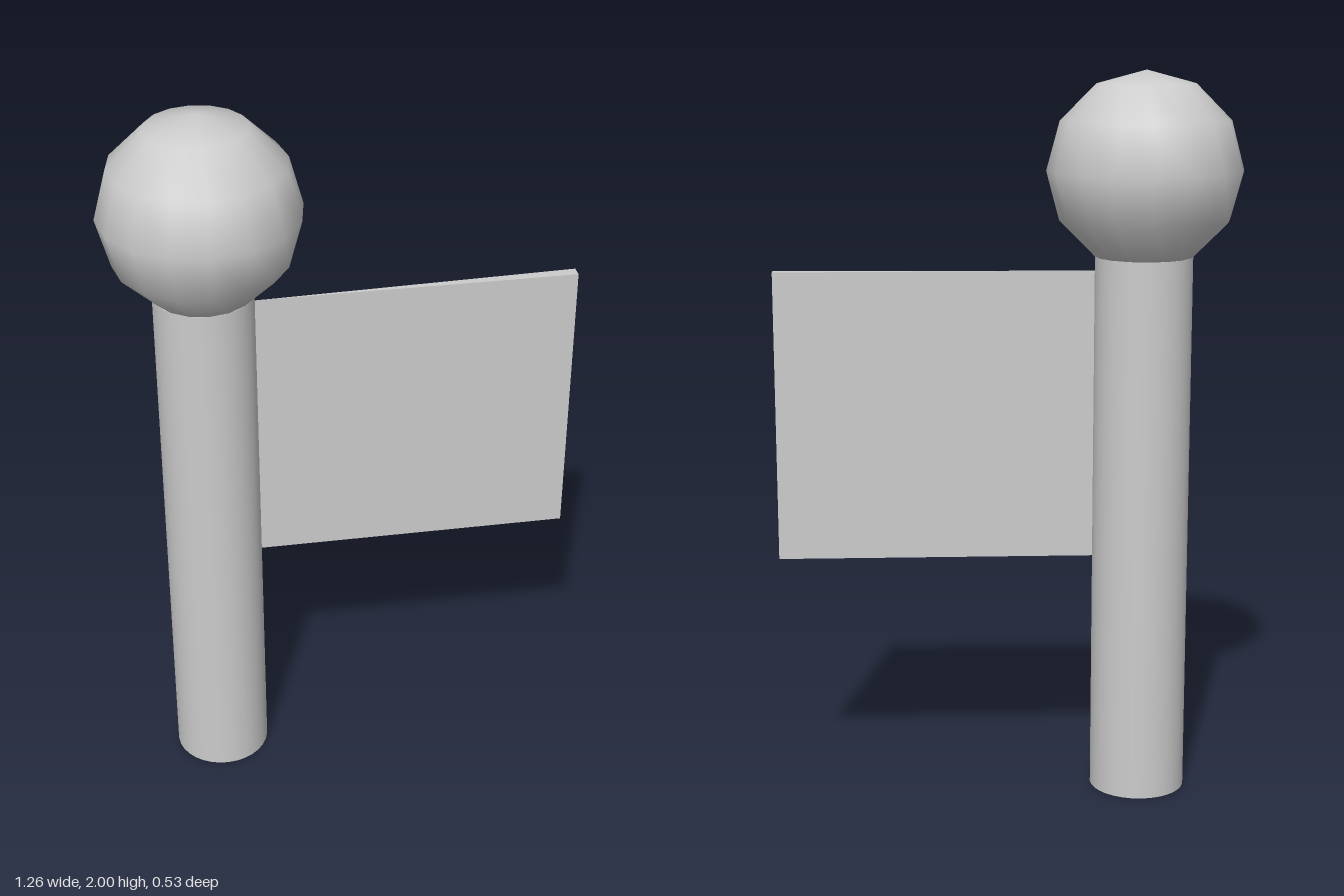
import * as THREE from 'three';

export function createModel() {
  const group = new THREE.Group();
  const material = new THREE.MeshStandardMaterial({ color: 0xcccccc });
  const add = (name, geometry, x, y) => {
    const mesh = new THREE.Mesh(geometry, material);
    mesh.name = name;
    mesh.position.set(x, y, 0);
    group.add(mesh);
  };

  const axisX = -0.3675, ballRadius = 0.265, poleRadius = ballRadius / 2;
  const ballY = 2 - ballRadius;
  // The pole meets the ball at its lowest ring of vertices
  const poleHeight = ballY - ballRadius * Math.cos(Math.PI / 6);

  add('pole', new THREE.CylinderGeometry(poleRadius, poleRadius, poleHeight, 32), axisX, poleHeight / 2);
  add('ball', new THREE.SphereGeometry(ballRadius, 16, 6), axisX, ballY);

  // Flag: a thin wedge, sharp at the pole and thickest at its free edge
  const inner = axisX + poleRadius, outer = 0.6325, half = 0.016;
  const wedge = new THREE.Shape([
    new THREE.Vector2(inner, 0),
    new THREE.Vector2(outer, -half),
    new THREE.Vector2(outer, half),
  ]);
  const flag = new THREE.ExtrudeGeometry(wedge, { depth: 0.797, bevelEnabled: false });
  flag.rotateX(-Math.PI / 2);
  add('flag', flag, 0, 0.67);

  return group;
}
